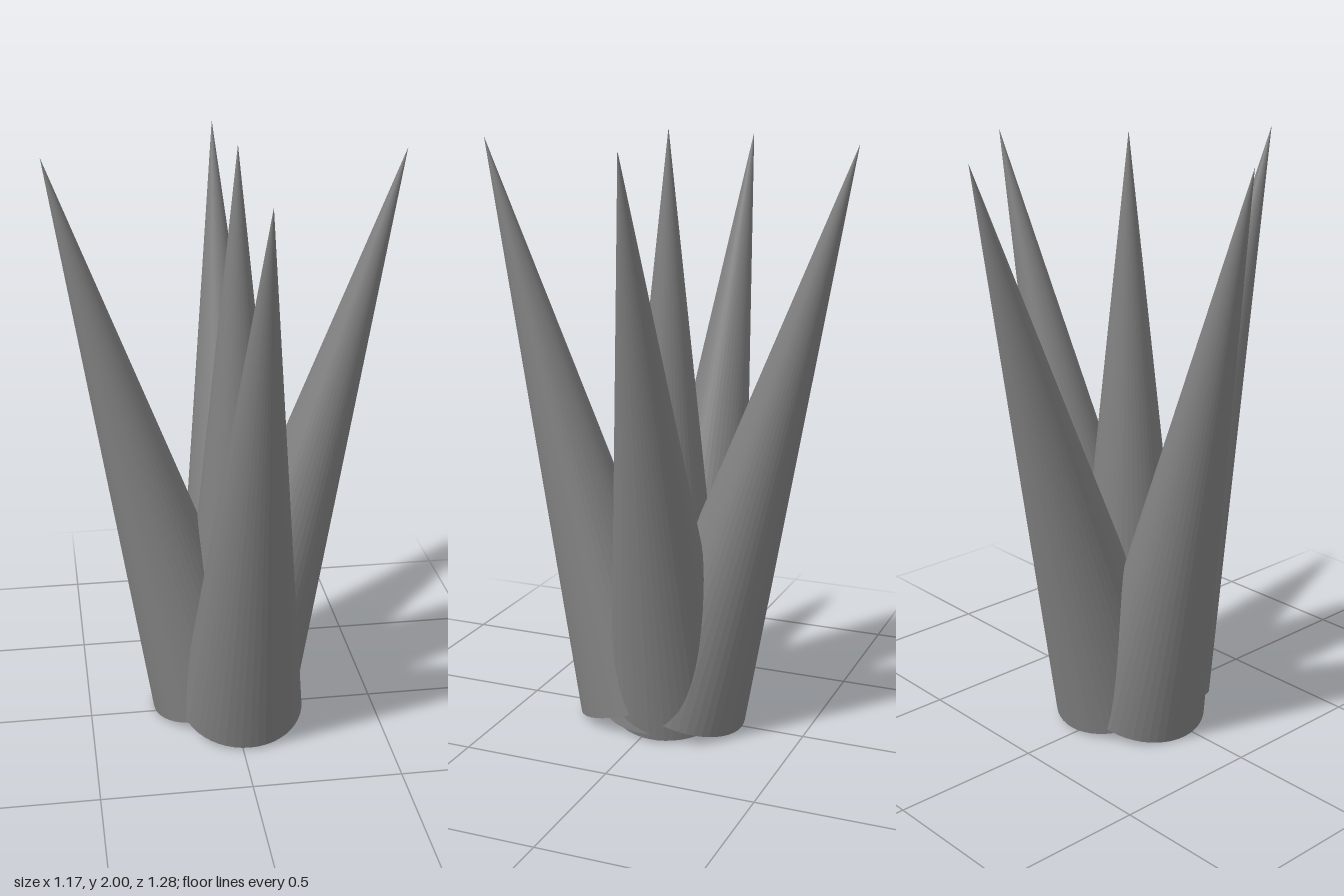
import * as THREE from 'three';

const HEIGHT = 1.978, RADIUS = 0.212;
const UP = new THREE.Vector3(0, 1, 0);

// One closed cone with its tip at `tip`, its axis running towards `foot`
function spike(name, material, tip, foot) {
  const apex = new THREE.Vector3(...tip);
  const axis = apex.clone().sub(new THREE.Vector3(...foot)).normalize();
  const geometry = new THREE.ConeGeometry(RADIUS, HEIGHT, 48);
  geometry.translate(0, -HEIGHT / 2, 0); // origin at the tip
  const mesh = new THREE.Mesh(geometry, material);
  mesh.name = name;
  mesh.quaternion.setFromUnitVectors(UP, axis);
  mesh.position.copy(apex);
  return mesh;
}

export function createModel() {
  const group = new THREE.Group();
  group.name = 'spikeCluster';
  const material = new THREE.MeshStandardMaterial({ color: 0x808080, flatShading: true });

  // Upright centre spike and four leaning outwards around it
  const spikes = [
    ['centreSpike', [0.023, 2.0, -0.02], [0.023, 0.02, -0.02]],
    ['frontSpike', [0.023, 1.96, 0.642], [0.023, 0.06, 0.083]],
    ['backSpike', [0.023, 1.96, -0.642], [0.023, 0.06, -0.085]],
    ['leftSpike', [0.584, 1.96, -0.095], [0.026, 0.06, -0.037]],
    ['rightSpike', [-0.585, 1.96, -0.095], [-0.07, 0.05, -0.039]],
  ];
  for (const [name, tip, foot] of spikes) group.add(spike(name, material, tip, foot));
  return group;
}
